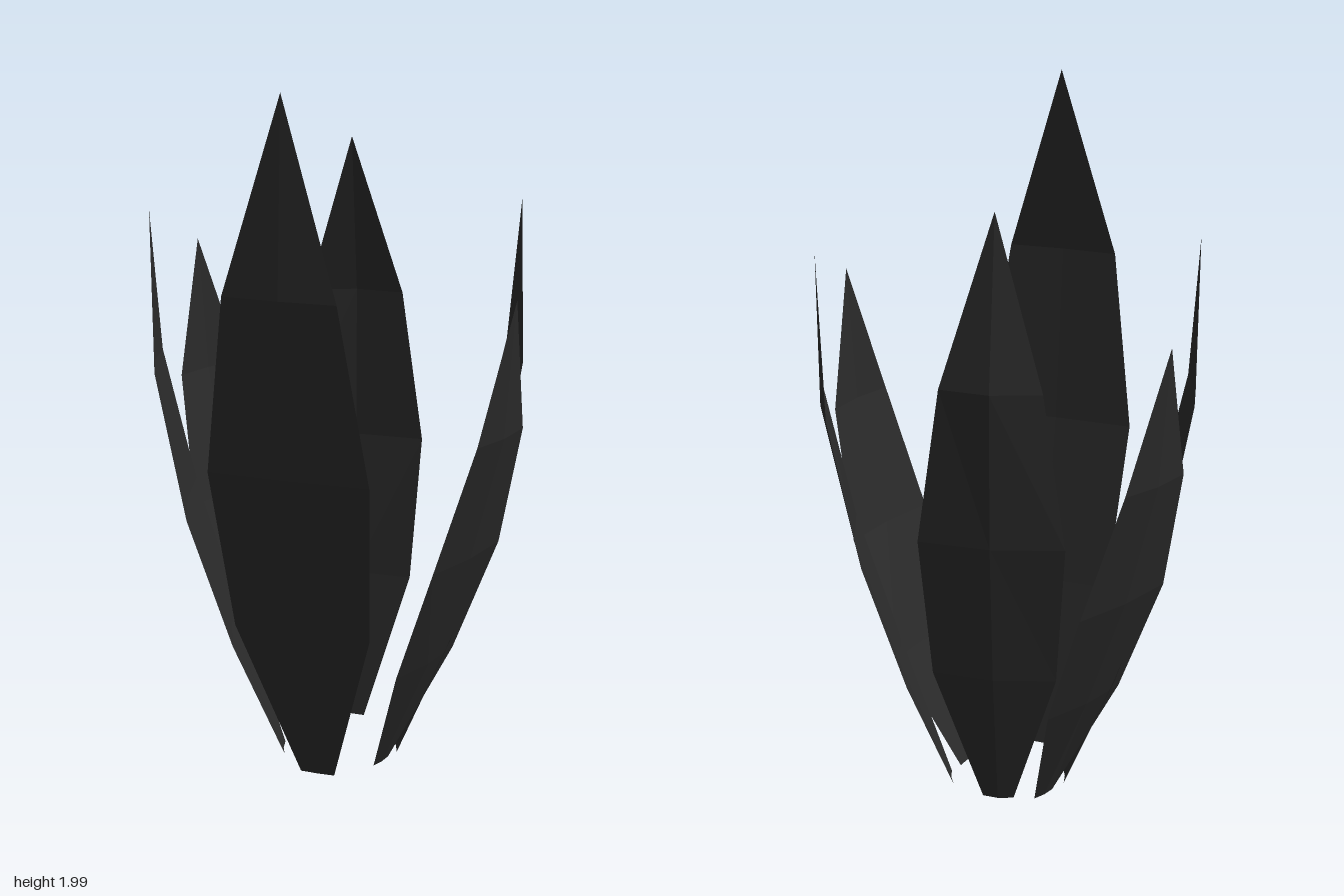
import * as THREE from 'three';

// Petal rows: fraction of height, outward bulge, half width
const ROWS = [
  [0, 0, 0.05],
  [0.243, 0.064, 0.195],
  [0.483, 0.106, 0.226],
  [0.735, 0.097, 0.156],
  [1, 0, 0],
];

// base and tip are [x, y, z]; outward is the facing direction [x, z]
const PETALS = [
  { name: 'frontPetal', base: [0, 0.02, 0.142], tip: [0.02, 2, 0.4], outward: [0.088, 0.996], cup: 0.006 },
  { name: 'backPetal', base: [-0.057, 0.04, -0.22], tip: [-0.08, 1.78, -0.285], outward: [-0.254, -0.967], cup: 0.025 },
  { name: 'rightBackPetal', base: [-0.15, 0.01, -0.11], tip: [-0.54, 1.46, -0.222], outward: [-0.93, -0.37], cup: 0.012 },
  { name: 'rightFrontPetal', base: [-0.165, 0.01, 0.008], tip: [-0.47, 1.63, 0.195], outward: [-0.92, 0.39], cup: 0.012 },
  { name: 'leftFrontPetal', base: [0.128, 0.01, -0.022], tip: [0.545, 1.45, 0.085], outward: [0.975, 0.22], cup: 0.012 },
  { name: 'leftBackPetal', base: [0.128, 0.01, -0.13], tip: [0.407, 1.63, -0.345], outward: [0.872, -0.49], cup: 0.012 },
];

// Thin leaf: three points per row (edge, raised middle, edge), closing to a tip
function petalGeometry({ base, tip, outward, cup }) {
  const foot = new THREE.Vector3(...base);
  const end = new THREE.Vector3(...tip);
  const out = new THREE.Vector3(outward[0], 0, outward[1]).normalize();
  const side = new THREE.Vector3(0, 1, 0).cross(out);
  const scale = (end.y - foot.y) / 1.98;

  const positions = [];
  const index = [];
  ROWS.forEach(([t, bulge, half], r) => {
    for (const c of [-1, 0, 1]) {
      const raise = c === 0 ? cup * half / 0.156 : 0;
      const p = foot.clone().lerp(end, t)
        .addScaledVector(out, bulge * scale + Math.min(raise, cup))
        .addScaledVector(side, c * half * scale);
      positions.push(p.x, p.y, p.z);
    }
    if (r === 0) return;
    for (let c = 0; c < 2; c++) {
      const a = (r - 1) * 3 + c;
      const b = a + 3;
      index.push(a, a + 1, b);
      if (half > 0) index.push(a + 1, b + 1, b);
    }
  });
  // The tip triangles meet in one point
  const geometry = new THREE.BufferGeometry();
  geometry.setAttribute('position', new THREE.Float32BufferAttribute(positions, 3));
  geometry.setIndex(index);
  geometry.computeVertexNormals();
  return geometry;
}

export function createModel() {
  const group = new THREE.Group();
  group.name = 'petalCluster';
  const material = new THREE.MeshStandardMaterial({
    color: 0x2a2a2a,
    flatShading: true,
    side: THREE.DoubleSide,
  });
  for (const petal of PETALS) {
    const mesh = new THREE.Mesh(petalGeometry(petal), material);
    mesh.name = petal.name;
    group.add(mesh);
  }
  return group;
}
